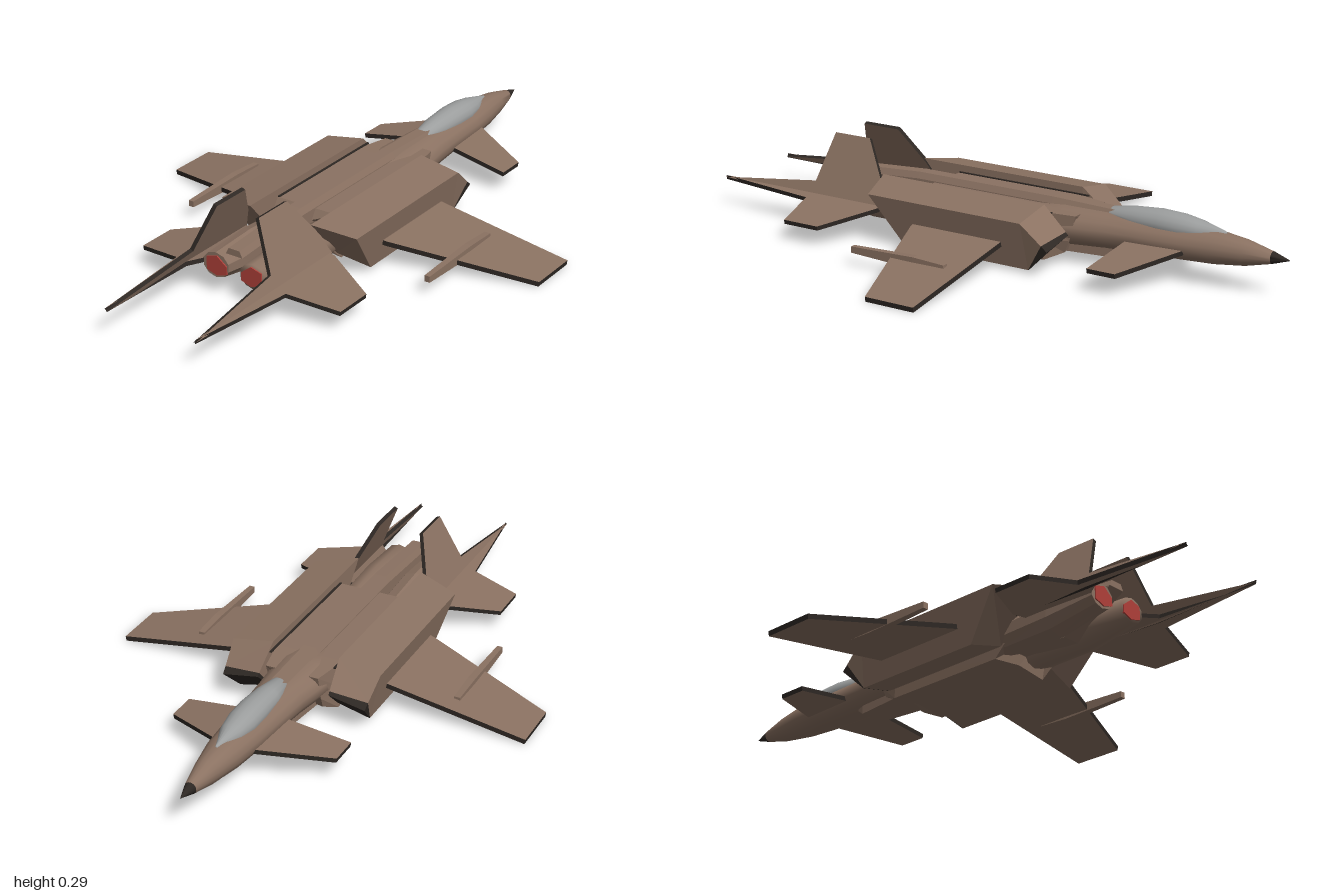
import * as THREE from 'three';

const mat = (name, color) => Object.assign(new THREE.MeshStandardMaterial({ color }), { name });

// Skin a list of rings (nose to tail, corners counter-clockwise seen from +z)
function loft(rings, smooth = false) {
  const n = rings[0].length, index = [];
  for (let i = 0; i < rings.length - 1; i++) {
    for (let j = 0; j < n; j++) {
      const k = (j + 1) % n;
      const a = i * n + j, b = i * n + k, c = b + n, d = a + n;
      index.push(a, b, c, a, c, d);
    }
  }
  const last = (rings.length - 1) * n;
  for (let j = 1; j < n - 1; j++) {
    index.push(0, j + 1, j, last, last + j, last + j + 1);
  }
  let geo = new THREE.BufferGeometry();
  geo.setAttribute('position', new THREE.Float32BufferAttribute(rings.flat(2), 3));
  geo.setIndex(index);
  if (!smooth) geo = geo.toNonIndexed();
  geo.computeVertexNormals();
  return geo;
}

// Elliptical ring from half-width, top and bottom
function oval(z, w, top, bottom, sides = 16, x = 0) {
  return Array.from({ length: sides }, (_, i) => {
    const a = ((i + 0.5) / sides) * Math.PI * 2;
    return [x + w * Math.cos(a), (top + bottom) / 2 + ((top - bottom) / 2) * Math.sin(a), z];
  });
}

// Flat panel: outline of [span, z] points laid along direction (dx, dy) from (x, y)
function plate(outline, x, y, dx, dy, thick) {
  const shape = new THREE.Shape(outline.map(([s, z]) => new THREE.Vector2(s, z)));
  const geo = new THREE.ExtrudeGeometry(shape, { depth: thick, bevelEnabled: false });
  geo.translate(0, 0, -thick / 2);
  const u = new THREE.Vector3(dx, dy, 0).normalize();
  const v = new THREE.Vector3(0, 0, 1);
  const w = new THREE.Vector3().crossVectors(u, v);
  return geo.applyMatrix4(new THREE.Matrix4().makeBasis(u, v, w).setPosition(x, y, 0));
}

// Mirror across x = 0, keeping faces outward
function mirrored(geo) {
  const out = geo.index ? geo.toNonIndexed() : geo.clone();
  out.scale(-1, 1, 1);
  const p = out.attributes.position;
  for (let i = 0; i < p.count; i += 3) {
    const b = [p.getX(i + 1), p.getY(i + 1), p.getZ(i + 1)];
    p.setXYZ(i + 1, p.getX(i + 2), p.getY(i + 2), p.getZ(i + 2));
    p.setXYZ(i + 2, ...b);
  }
  out.computeVertexNormals();
  return out;
}

export function createModel() {
  const group = new THREE.Group();
  const hull = mat('brown hull', 0x8b7262);
  const glass = mat('grey glass', 0x9c9e9e);
  const dark = mat('dark trim', 0x2e2824);
  const red = mat('red exhaust', 0xb0403a);
  const edged = [hull, dark]; // panel faces, panel edges

  const add = (name, geo, material = hull) => {
    const mesh = new THREE.Mesh(geo, material);
    mesh.name = name;
    group.add(mesh);
  };
  const pair = (name, geo, material) => {
    add(name + 'Left', geo, material);
    add(name + 'Right', mirrored(geo), material);
  };

  // Nose and forward fuselage
  add('noseTip', loft([oval(-0.99, 0.001, 0.121, 0.119), oval(-0.935, 0.019, 0.139, 0.101)], true), dark);
  add('forwardFuselage', loft([
    [-0.935, 0.019, 0.139, 0.101], [-0.85, 0.038, 0.16, 0.08], [-0.75, 0.057, 0.172, 0.068],
    [-0.65, 0.067, 0.172, 0.064], [-0.5, 0.075, 0.172, 0.062], [-0.4, 0.082, 0.176, 0.055],
    [-0.25, 0.102, 0.175, 0.045], [-0.1, 0.11, 0.165, 0.04],
  ].map((r) => oval(...r)), true));

  // Canopy
  add('canopy', loft([
    [-0.785, 0.004, 0.172, 0.15], [-0.7, 0.036, 0.193, 0.13], [-0.64, 0.046, 0.203, 0.12],
    [-0.57, 0.047, 0.206, 0.12], [-0.48, 0.042, 0.199, 0.125], [-0.4, 0.03, 0.186, 0.13],
  ].map((r) => oval(...r)), true), glass);

  // Centre body with a shallow keel groove and wedge-shaped tail end
  const centre = (zTop, zMid, zBottom, w, top, low) => [
    [w, top, zTop], [-w, top, zTop], [-w, 0.08, zMid],
    [-w * 0.95, low, zBottom], [0, low + 0.014, zBottom], [w * 0.95, low, zBottom],
    [w, 0.08, zMid],
  ];
  add('centreBody', loft([
    centre(-0.32, -0.3, -0.28, 0.088, 0.162, 0.04), centre(-0.2, -0.21, -0.22, 0.112, 0.165, 0.012),
    centre(0.235, 0.29, 0.21, 0.112, 0.165, 0.01),
  ]));

  // Dark seams where the deck meets the intake boxes
  pair('deckSeam', plate([[0, -0.25], [0.007, -0.25], [0.007, 0.235], [0, 0.235]], 0.105, 0.166, 1, 0, 0.004), dark);

  // Belly fairing under the cockpit
  const box = (z, w, top, bottom) => [[w, top, z], [-w, top, z], [-w, bottom, z], [w, bottom, z]];
  add('bellyFairing', loft([box(-0.46, 0.035, 0.1, 0.062), box(-0.43, 0.045, 0.1, 0.04), box(-0.2, 0.07, 0.1, 0.038)]));

  // Spine, running back between the engines to an undercut end
  const spine = (z, top, bottom, undercut = 0) => [
    [0.03, top - 0.02, z], [0.02, top, z], [-0.02, top, z], [-0.03, top - 0.02, z],
    [-0.03, bottom, z - undercut], [0.03, bottom, z - undercut],
  ];
  add('spine', loft([
    spine(-0.42, 0.182, 0.12), spine(-0.2, 0.188, 0.1), spine(0.3, 0.188, 0.05), spine(0.6, 0.17, 0.04, 0.18),
  ]));

  // Canted intake boxes with raked ends and a dark lip
  const lip = [[0.24, 0.088, -0.315], [0.12, 0.11, -0.315], [0.115, 0.04, -0.24], [0.222, 0.015, -0.24]];
  const throat = [[0.242, 0.105, -0.295], [0.119, 0.119, -0.306], [0.114, 0.04, -0.238], [0.222, 0.015, -0.238]];
  pair('intakeLip', loft([lip, throat]), dark);
  pair('intakeBox', loft([
    throat,
    [[0.25, 0.165, -0.225], [0.112, 0.19, -0.225], [0.112, 0.04, -0.225], [0.222, 0.015, -0.225]],
    [[0.25, 0.165, 0.335], [0.112, 0.19, 0.375], [0.112, 0.04, 0.24], [0.222, 0.015, 0.22]],
  ]));

  // Drooped main wings and their slim pods
  pair('wing', plate([[0, -0.15], [0.575, -0.15], [0.575, 0.02], [0.13, 0.172], [0, 0.2]],
    0.122, 0.102, 1, -0.16, 0.016), edged);
  const pod = (z, w, h) => [[1, 1], [-1, 1], [-1, -1], [1, -1]].map(([i, j]) => [0.443 + i * w, 0.055 + j * h, z]);
  pair('wingPod', loft([pod(-0.09, 0.01, 0.012), pod(0.02, 0.012, 0.018), pod(0.25, 0.009, 0.01)]));

  // Canards
  pair('canard', plate([[0, -0.68], [0.225, -0.565], [0.225, -0.47], [0, -0.485]],
    0.048, 0.105, 1, -0.16, 0.015), edged);

  // Tailplanes and inward-leaning fins, each drawn out into a long spike
  pair('tailplane', plate([
    [-0.06, 0.35], [0.02, 0.35], [0.205, 0.45], [0.205, 0.58], [0.04, 0.62], [0, 0.985],
    [-0.012, 0.64], [-0.06, 0.58],
  ], 0.16, 0.095, 1, -0.16, 0.014), edged);
  pair('tailFin', plate([
    [0, 0.34], [0.09, 0.375], [0.21, 0.45], [0.21, 0.585], [0.045, 0.62], [0, 0.985], [-0.01, 0.62],
  ], 0.16, 0.095, -0.4, 0.917, 0.013), edged);

  // Engines and exhaust faces
  pair('engine', loft([
    [0.18, 0.05, 0.135, 0.04], [0.25, 0.058, 0.138, 0.028], [0.43, 0.059, 0.15, 0.028], [0.6, 0.048, 0.142, 0.06],
  ].map(([z, w, t, b]) => oval(z, w, t, b, 10, 0.068)), true));
  const exhaust = (z) => [
    [0.1, 0.122], [0.062, 0.133], [0.027, 0.106], [0.027, 0.08], [0.062, 0.068], [0.1, 0.08],
  ].map(([x, y]) => [x, y, z]);
  pair('exhaust', loft([exhaust(0.597), exhaust(0.604)]), red);

  return group;
}
